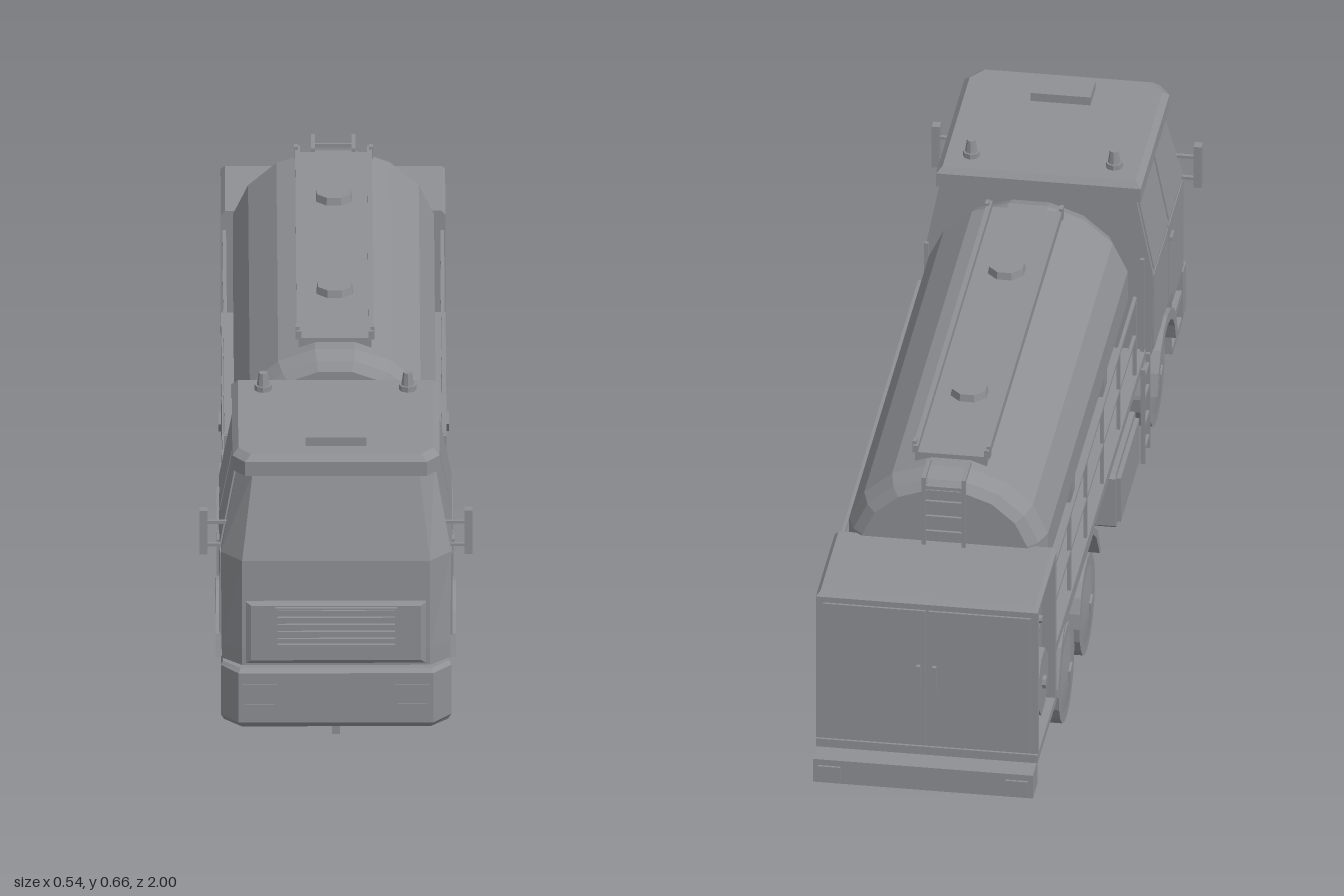
import * as THREE from 'three';

export function createModel() {
  const paint = new THREE.MeshStandardMaterial({ color: 0x8e9094 });
  paint.name = 'grey paint';
  paint.flatShading = true;
  const truck = new THREE.Group();
  truck.name = 'tankerTruck';

  const add = (name, geo, x = 0, y = 0, z = 0) => {
    const m = new THREE.Mesh(geo, paint);
    m.name = name;
    m.position.set(x, y, z);
    truck.add(m);
    return m;
  };
  // box from its limits
  const box = (name, x0, x1, y0, y1, z0, z1) =>
    add(name, new THREE.BoxGeometry(Math.abs(x1 - x0), y1 - y0, z1 - z0), (x0 + x1) / 2, (y0 + y1) / 2, (z0 + z1) / 2);
  // cylinder lying along x
  const disc = (name, r0, r1, w, sides, x, y, z) => {
    const m = add(name, new THREE.CylinderGeometry(r1, r0, w, sides), x, y, z);
    m.rotation.z = -Math.PI / 2;
    return m;
  };
  // closed skin through equal rings, with flat end caps
  const loft = (name, rings) => {
    const pos = [];
    const tri = (...ps) => ps.forEach(p => pos.push(...p));
    const n = rings[0].length, last = rings[rings.length - 1];
    for (let k = 0; k < rings.length - 1; k++)
      for (let i = 0; i < n; i++) {
        const j = (i + 1) % n, lo = rings[k], hi = rings[k + 1];
        tri(lo[i], lo[j], hi[j]);
        tri(lo[i], hi[j], hi[i]);
      }
    for (let i = 1; i < n - 1; i++) {
      tri(last[0], last[i], last[i + 1]);
      tri(rings[0][0], rings[0][i + 1], rings[0][i]);
    }
    const g = new THREE.BufferGeometry();
    g.setAttribute('position', new THREE.Float32BufferAttribute(pos, 3));
    g.computeVertexNormals();
    return add(name, g);
  };
  // plan outline with chamfered front corners at height y
  const plan = (y, w, zb, zf, cx, cz) => [
    [w - cx, y, zf], [w, y, zf - cz], [w, y, zb], [-w, y, zb], [-w, y, zf - cz], [cx - w, y, zf]];
  // rectangle in the xy plane at depth z
  const rect = (z, w, y0, y1) => [[w, y0, z], [w, y1, z], [-w, y1, z], [-w, y0, z]];
  // outline of [z, y] points extruded between two x positions
  const sidePlate = (name, pts, x0, x1) => {
    const s = new THREE.Shape(pts.map(([z, y]) => new THREE.Vector2(-z, y)));
    const g = new THREE.ExtrudeGeometry(s, { depth: Math.abs(x1 - x0), bevelEnabled: false });
    g.rotateY(Math.PI / 2);
    return add(name, g, Math.min(x0, x1));
  };
  const frame = (name, x0, x1, y0, y1, z0, z1, t) => {
    box(name, x0, x1, y0, y0 + t, z0, z1);
    box(name, x0, x1, y1 - t, y1, z0, z1);
    box(name, x0, x0 + t, y0 + t, y1 - t, z0, z1);
    box(name, x1 - t, x1, y0 + t, y1 - t, z0, z1);
  };

  // cab shell, sloping in above the waist
  loft('cab', [plan(0.225, 0.226, 0.515, 0.97, 0.04, 0.04), plan(0.412, 0.228, 0.515, 0.965, 0.042, 0.05),
    plan(0.578, 0.195, 0.515, 0.91, 0.03, 0.05)]);
  loft('cabRoof', [plan(0.575, 0.205, 0.51, 0.92, 0.025, 0.035), plan(0.605, 0.205, 0.51, 0.92, 0.025, 0.035),
    plan(0.617, 0.193, 0.52, 0.908, 0.025, 0.035)]);
  loft('cabNose', [plan(0.07, 0.2, 0.79, 0.965, 0.03, 0.04), plan(0.225, 0.2, 0.79, 0.965, 0.03, 0.04)]);
  loft('cabLowerFront', [plan(0.19, 0.226, 0.9, 0.97, 0.04, 0.04), plan(0.225, 0.226, 0.9, 0.97, 0.04, 0.04)]);
  loft('frontBumper', [plan(0.067, 0.222, 0.91, 0.985, 0.035, 0.04), plan(0.08, 0.228, 0.91, 0.997, 0.035, 0.045),
    plan(0.185, 0.228, 0.91, 0.997, 0.035, 0.045), plan(0.192, 0.224, 0.91, 0.987, 0.035, 0.04)]);
  box('towHook', -0.008, 0.008, 0.04, 0.08, 0.945, 0.96);
  box('roofHatch', -0.06, 0.06, 0.612, 0.635, 0.8, 0.865);

  // grille surround with slats
  loft('grillePanel', [rect(0.955, 0.178, 0.198, 0.328), rect(0.974, 0.178, 0.198, 0.328), rect(0.98, 0.168, 0.206, 0.322)]);
  frame('grilleFrame', -0.12, 0.12, 0.238, 0.32, 0.975, 0.988, 0.004);
  for (let i = 0; i < 5; i++)
    box('grilleSlat', -0.116, 0.116, 0.246 + i * 0.015, 0.254 + i * 0.015, 0.975, 0.986);

  // chassis
  for (const s of [-1, 1]) box('chassisRail', s * 0.065, s * 0.095, 0.14, 0.25, -0.93, 0.9);
  box('deck', -0.222, 0.222, 0.245, 0.265, -0.7, 0.465);
  for (const z of [0.4, 0, -0.4]) box('crossMember', -0.07, 0.07, 0.17, 0.23, z - 0.015, z + 0.015);

  // tank with tapered ends
  const oval = (z, k) => Array.from({ length: 16 }, (_, i) => {
    const a = (i + 0.5) * Math.PI / 8;
    return [0.203 * k * Math.cos(a), 0.457 + 0.173 * k * Math.sin(a), z];
  });
  loft('tank', [oval(-0.71, 0.83), oval(-0.695, 0.93), oval(-0.66, 1), oval(0.38, 1), oval(0.415, 0.93), oval(0.43, 0.83)]);

  // walkway on the tank
  box('walkway', -0.072, 0.072, 0.615, 0.636, -0.63, 0.345);
  for (const s of [-1, 1]) {
    box('walkwayRail', s * 0.066, s * 0.076, 0.636, 0.65, -0.63, 0.345);
    for (const z of [-0.615, 0.33]) box('walkwayStop', s * 0.07, s * 0.078, 0.63, 0.656, z - 0.008, z + 0.008);
  }
  for (const z of [-0.385, 0.1]) add('tankHatch', new THREE.CylinderGeometry(0.036, 0.04, 0.022, 8), 0, 0.64, z).rotation.y = Math.PI / 8;

  // ladder behind the tank
  for (const s of [-1, 1]) {
    box('rearLadderPost', s * 0.036, s * 0.044, 0.48, 0.635, -0.727, -0.719);
    box('rearLadderHook', s * 0.036, s * 0.044, 0.627, 0.635, -0.727, -0.65);
  }
  for (let i = 0; i < 4; i++) box('rearLadderRung', -0.04, 0.04, 0.507 + i * 0.034, 0.514 + i * 0.034, -0.726, -0.72);

  // rear equipment cabinet, open at both sides
  box('cabinetCore', -0.195, 0.195, 0.14, 0.47, -0.935, -0.705);
  box('cabinetFloor', -0.222, 0.222, 0.13, 0.148, -0.945, -0.7);
  loft('cabinetRoof', [plan(0.466, 0.222, -0.945, -0.7, 0, 0), plan(0.473, 0.222, -0.945, -0.7, 0, 0),
    plan(0.482, 0.214, -0.935, -0.7, 0, 0)]);
  box('cabinetBack', -0.222, 0.222, 0.148, 0.466, -0.94, -0.928);
  box('cabinetFront', -0.222, 0.222, 0.148, 0.466, -0.716, -0.7);
  for (const s of [-1, 1]) {
    box('rearDoor', s * 0.003, s * 0.208, 0.155, 0.458, -0.945, -0.938);
    box('doorHandle', s * 0.012, s * 0.02, 0.28, 0.335, -0.954, -0.944);
    box('tailLight', s * 0.165, s * 0.21, 0.088, 0.117, -1, -0.993);
  }
  box('rearBumper', -0.22, 0.22, 0.078, 0.13, -0.995, -0.935);

  // everything mirrored left and right
  for (const s of [-1, 1]) {
    // doors and door windows
    box('frontDoor', s * 0.222, s * 0.23, 0.23, 0.405, 0.715, 0.905);
    box('rearSidePanel', s * 0.222, s * 0.23, 0.235, 0.405, 0.52, 0.708);
    box('doorHandle', s * 0.228, s * 0.235, 0.365, 0.373, 0.725, 0.755);
    for (const [z0, z1, z2] of [[0.525, 0.705, 0.705], [0.718, 0.89, 0.86]]) {
      const ring = (y, x, zb, zf) => {
        const a = s * (x + 0.003), b = s * (x - 0.003), hi = Math.max(a, b), lo = Math.min(a, b);
        return [[hi, y, zf], [hi, y, zb], [lo, y, zb], [lo, y, zf]];
      };
      loft('sideWindow', [ring(0.418, 0.227, z0, z1), ring(0.57, 0.197, z0, z2)]);
    }
    // boarding steps
    for (const y of [0.067, 0.128, 0.188]) box('cabStep', s * 0.19, s * 0.226, y, y + 0.016, 0.79, 0.915);
    box('stepPost', s * 0.19, s * 0.224, 0.07, 0.225, 0.785, 0.795);
    box('doorSill', s * 0.19, s * 0.226, 0.2, 0.228, 0.79, 0.92);
    // headlights
    const hx = s * 0.151;
    frame('headlightFrame', hx - 0.035, hx + 0.035, 0.115, 0.162, 0.99, 1, 0.005);
    // mirrors
    box('mirror', s * 0.254, s * 0.27, 0.4, 0.493, 0.88, 0.9);
    for (const y of [0.417, 0.465]) box('mirrorArm', s * 0.2, s * 0.256, y - 0.003, y + 0.003, 0.885, 0.893);
    // beacons
    add('beaconBase', new THREE.CylinderGeometry(0.017, 0.017, 0.012, 8), s * 0.143, 0.622, 0.57);
    add('beacon', new THREE.CylinderGeometry(0.009, 0.013, 0.028, 8), s * 0.143, 0.64, 0.57);

    // front mudguard
    const arc = (r, flip) => Array.from({ length: 9 }, (_, i) => {
      const a = (0.06 + 0.88 * (flip ? 8 - i : i) / 8) * Math.PI;
      return [0.645 + r * Math.cos(a), 0.105 + r * Math.sin(a)];
    });
    sidePlate('frontMudguard', [...arc(0.135), ...arc(0.112, true)], s * 0.13, s * 0.238);
    // rear mudguard spanning both axles
    sidePlate('rearMudguard', [[-0.12, 0.145], [-0.165, 0.215], [-0.215, 0.25], [-0.585, 0.25], [-0.635, 0.215], [-0.68, 0.145],
      [-0.665, 0.145], [-0.622, 0.205], [-0.58, 0.236], [-0.22, 0.236], [-0.178, 0.205], [-0.135, 0.145]], s * 0.13, s * 0.222);
    // wheels
    for (const z of [0.645, -0.265, -0.535]) {
      disc('tyre', 0.102, 0.102, 0.07, 20, s * 0.182, 0.102, z);
      disc('wheelFace', s > 0 ? 0.098 : 0.025, s > 0 ? 0.025 : 0.098, 0.008, 20, s * 0.219, 0.102, z);
      disc('hub', 0.022, 0.022, 0.012, 5, s * 0.222, 0.102, z);
    }
    // toolbox with bevelled outer edges
    sidePlate('toolbox', [[0.05, 0.1], [0.06, 0.092], [0.305, 0.092], [0.315, 0.1], [0.315, 0.207], [0.305, 0.215],
      [0.06, 0.215], [0.05, 0.207]], s * 0.12, s * 0.225);
    box('toolboxLid', s * 0.22, s * 0.234, 0.104, 0.203, 0.062, 0.303);
    box('toolboxBracket', s * 0.09, s * 0.2, 0.21, 0.25, 0.12, 0.24);
    // side ladder and grab pole
    for (const z of [0.388, 0.452]) box('sideLadderPost', s * 0.224, s * 0.233, 0.05, 0.265, z - 0.004, z + 0.004);
    for (const y of [0.075, 0.13, 0.19, 0.24]) box('sideLadderRung', s * 0.226, s * 0.232, y, y + 0.007, 0.388, 0.452);
    box('grabPole', s * 0.212, s * 0.22, 0.26, 0.475, 0.456, 0.464);
    // handrail
    for (const z of [0.365, 0.15, -0.065, -0.28, -0.49]) box('railPost', s * 0.212, s * 0.219, 0.26, 0.437, z - 0.004, z + 0.004);
    for (const y of [0.35, 0.434]) box('handrail', s * 0.212, s * 0.219, y, y + 0.007, -0.7, 0.369);
    // tank supports
    for (const z of [0.285, -0.135, -0.56]) box('tankSupport', s * 0.09, s * 0.17, 0.26, 0.32, z - 0.017, z + 0.017);

    // hose reel and gauges in the cabinet
    disc('hoseReel', 0.068, 0.068, 0.02, 8, s * 0.204, 0.245, -0.82).rotation.x = Math.PI / 8;
    disc('reelHub', 0.014, 0.014, 0.012, 8, s * 0.215, 0.245, -0.82);
    for (const z of [-0.785, -0.855]) disc('gauge', 0.013, 0.013, 0.012, 8, s * 0.198, 0.403, z);
    for (const z of [-0.765, -0.8, -0.84, -0.875]) disc('valve', 0.008, 0.008, 0.012, 8, s * 0.198, 0.355, z);
  }

  // axles
  for (const z of [0.645, -0.265, -0.535]) {
    disc('axle', 0.014, 0.014, 0.3, 8, 0, 0.102, z);
    for (const s of [-1, 1]) box('axleMount', s * 0.07, s * 0.09, 0.1, 0.145, z - 0.02, z + 0.02);
  }
  return truck;
}
